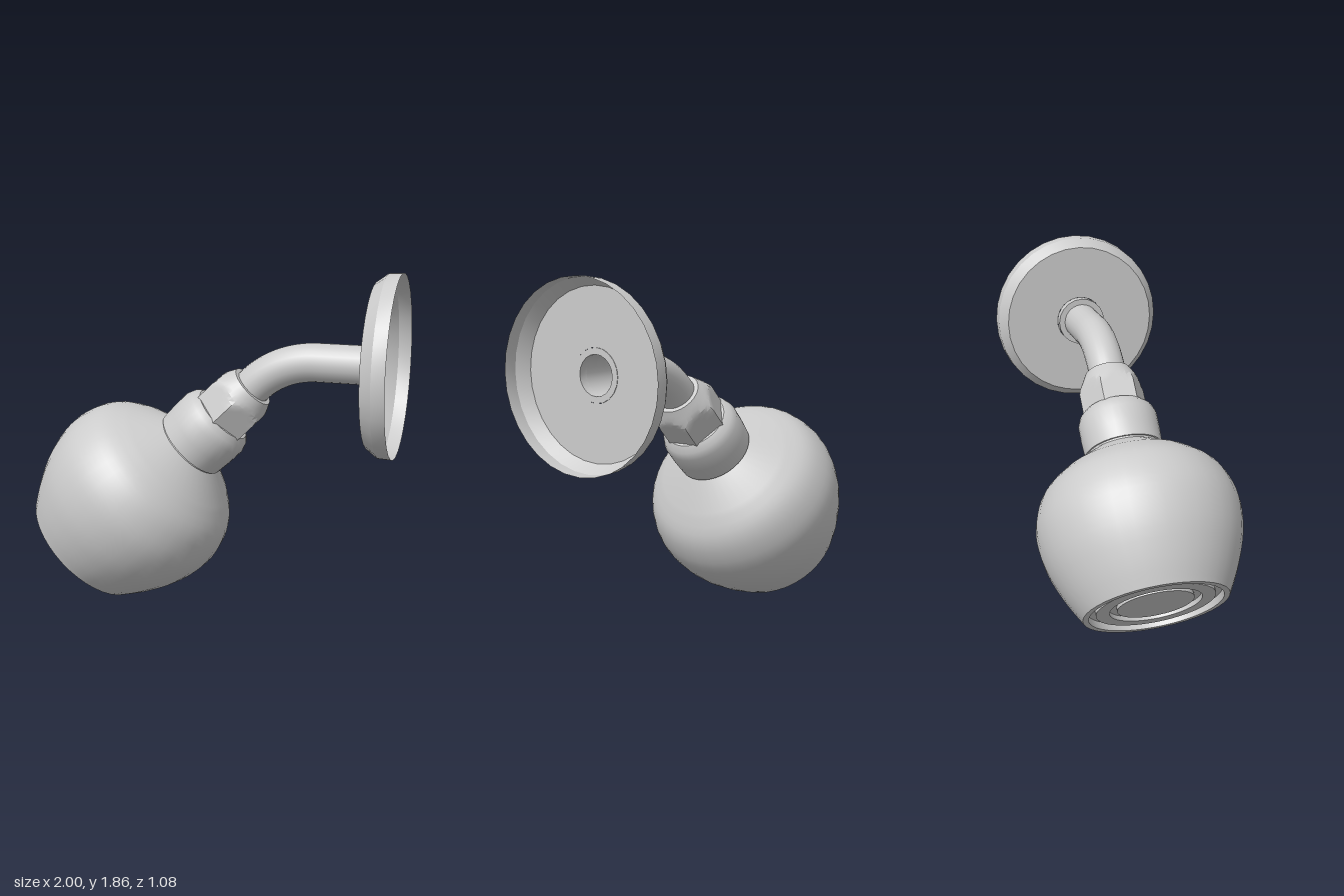
import * as THREE from 'three';
import { toCreasedNormals } from 'three/addons/utils/BufferGeometryUtils.js';

const material = new THREE.MeshStandardMaterial({ color: 0xcccccc, side: THREE.DoubleSide });

function addMesh(parent, name, geometry) {
  const mesh = new THREE.Mesh(geometry, material);
  mesh.name = name;
  parent.add(mesh);
  return mesh;
}

// Turned part: profile of [radius, height] pairs, sharp edges kept
function turned(parent, name, profile, segments = 36) {
  const points = profile.map(([r, y]) => new THREE.Vector2(r, y));
  return addMesh(parent, name, toCreasedNormals(new THREE.LatheGeometry(points, segments), 0.5));
}

// Hexagonal nut whose upper corners are cut by a cone
function nutGeometry(apothem, bottom, top) {
  const height = top - bottom;
  const geometry = new THREE.CylinderGeometry(1, 1, height, 36, 10);
  geometry.translate(0, bottom + height / 2, 0);
  const p = geometry.attributes.position;
  for (let i = 0; i < p.count; i++) {
    const x = p.getX(i), y = p.getY(i), z = p.getZ(i);
    if (Math.hypot(x, z) < 0.5) continue;
    const angle = (Math.atan2(x, z) + 2 * Math.PI + 1e-6) % (Math.PI / 3);
    const hex = apothem / Math.cos(angle - Math.PI / 6);
    const cone = 0.125 + (top - y) * 0.5;
    const r = Math.min(hex, cone);
    p.setXYZ(i, x * r, y, z * r);
  }
  return toCreasedNormals(geometry, 0.35);
}

export function createModel() {
  const model = new THREE.Group();
  model.name = 'showerHead';

  // Head assembly, turned about an axis tilted by 45 degrees
  const head = new THREE.Group();
  head.name = 'head';
  head.position.set(-0.73, 0.27, 0);
  head.rotation.z = -Math.PI / 4;
  model.add(head);

  const bulb = new THREE.SplineCurve([
    [0.38, 0], [0.45, 0.127], [0.515, 0.29], [0.54, 0.46],
    [0.515, 0.59], [0.46, 0.69], [0.36, 0.775],
  ].map(([r, y]) => new THREE.Vector2(r, y))).getPoints(20).map((v) => [v.x, v.y]);
  turned(head, 'bulb', [...bulb, [0.2, 0.87], [0.2, 0.89]], 40);

  // Recessed spray face with concentric steps
  turned(head, 'sprayFace', [
    [0, 0.02], [0.2, 0.02], [0.2, 0.04], [0.24, 0.04], [0.24, 0.015],
    [0.31, 0.015], [0.31, 0.04], [0.35, 0.04], [0.35, 0], [0.38, 0],
  ], 40);

  turned(head, 'collar', [
    [0, 0.88], [0.21, 0.88], [0.215, 0.97], [0.215, 1.06], [0.2, 1.1], [0.17, 1.13], [0, 1.13],
  ]);
  addMesh(head, 'nut', nutGeometry(0.155, 1.12, 1.36));

  // Hollow bent arm
  const arm = new THREE.CurvePath();
  const bendStart = new THREE.Vector3(0.24, 1.24, 0);
  const bendEnd = new THREE.Vector3(0.58, 1.38, 0);
  arm.add(new THREE.LineCurve3(new THREE.Vector3(0.18, 1.18, 0), bendStart));
  arm.add(new THREE.CubicBezierCurve3(
    bendStart, new THREE.Vector3(0.33, 1.33, 0), new THREE.Vector3(0.452, 1.38, 0), bendEnd));
  arm.add(new THREE.LineCurve3(bendEnd, new THREE.Vector3(0.87, 1.38, 0)));
  addMesh(model, 'arm', new THREE.TubeGeometry(arm, 48, 0.102, 24));

  // Wall flange: thin dished plate, open towards the wall
  const flange = new THREE.Group();
  flange.name = 'wallFlange';
  flange.position.set(0, 1.38, 0);
  flange.rotation.z = -Math.PI / 2;
  model.add(flange);
  turned(flange, 'plate', [[0.135, 0.868], [0.43, 0.868], [0.475, 0.93], [0.478, 1]], 32);
  turned(flange, 'flangeRing', [
    [0.102, 0.87], [0.102, 0.82], [0.135, 0.82], [0.135, 0.87], [0.102, 0.87],
  ], 20);

  return model;
}
